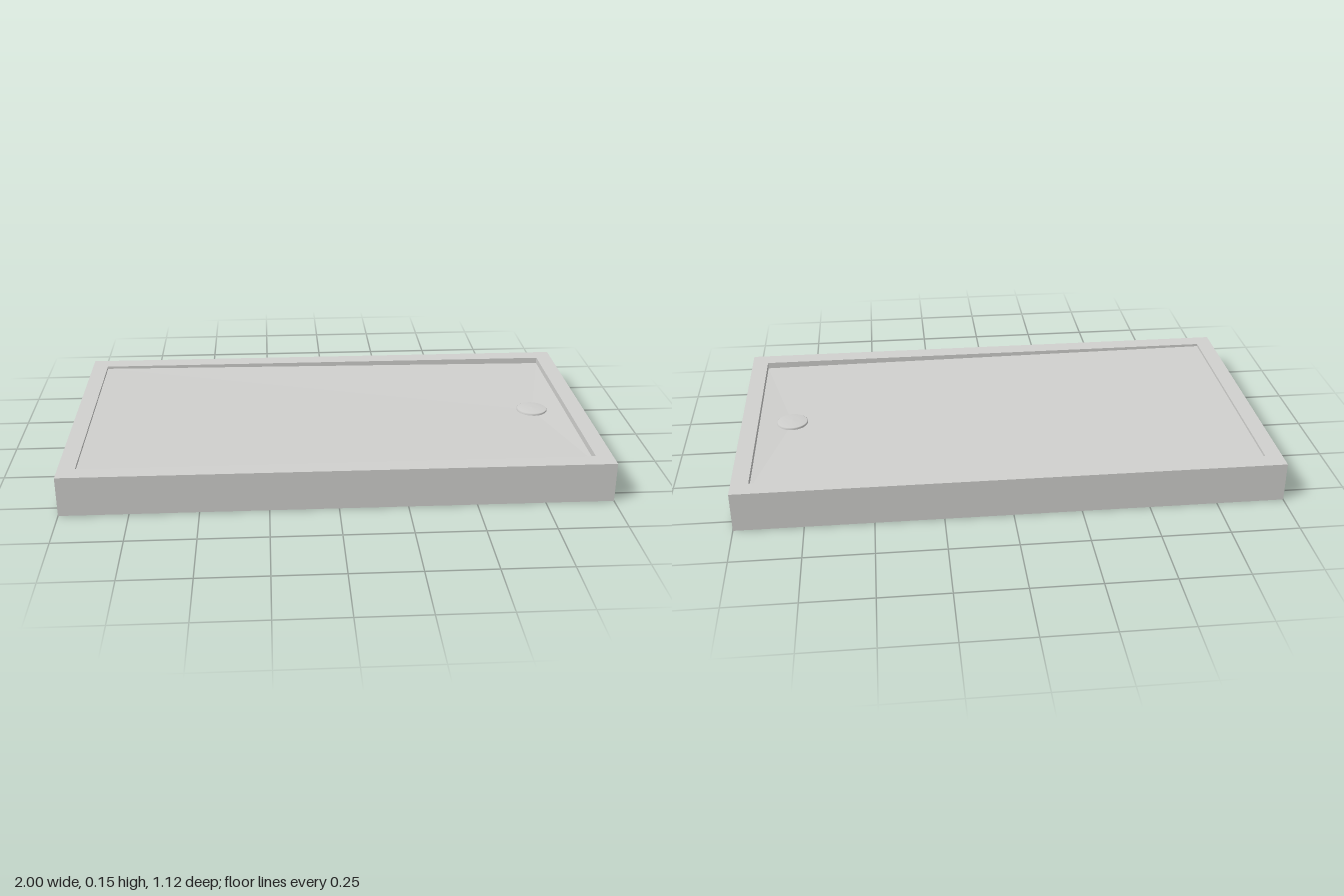
import * as THREE from 'three';

export function createModel() {
  const tray = new THREE.MeshStandardMaterial({ color: 0xd0d0ce });
  tray.name = 'trayGrey';
  const liner = new THREE.MeshStandardMaterial({ color: 0xcfc6ad });
  liner.name = 'linerBeige';

  const model = new THREE.Group();
  model.name = 'showerTray';
  const add = (name, geometry, material) => {
    const mesh = new THREE.Mesh(geometry, material);
    mesh.name = name;
    model.add(mesh);
    return mesh;
  };

  // Upright extrusion of a plan shape between two heights
  const rise = (shape, y0, y1) =>
    new THREE.ExtrudeGeometry(shape, { depth: y1 - y0, bevelEnabled: false, curveSegments: 48 })
      .rotateX(-Math.PI / 2).translate(0, y0, 0);
  const corners = (x, z) => [[-x, -z], [x, -z], [x, z], [-x, z]].map(p => new THREE.Vector2(...p));
  const frame = (x, z, ix, iz) => {
    const shape = new THREE.Shape(corners(x, z));
    shape.holes.push(new THREE.Path(corners(ix, iz).reverse()));
    return shape;
  };

  // Raised border and the thin skirt hanging below it
  add('rim', rise(frame(1, 0.56, 0.937, 0.492), 0.1, 0.15), tray);
  add('skirt', rise(frame(1, 0.56, 0.974, 0.534), 0, 0.1), tray);
  add('skirtLiner', rise(frame(0.974, 0.534, 0.97, 0.53), 0.002, 0.1), liner);
  add('rimLiner', rise(frame(0.972, 0.532, 0.92, 0.48), 0.096, 0.1), liner);

  // Floor falling from the four corners to the drain
  const dx = 0.81, hx = 0.937, hz = 0.492;
  const ring = [[-hx, 0.14, hz], [hx, 0.125, hz], [hx, 0.125, -hz], [-hx, 0.14, -hz]];
  const points = [];
  ring.forEach((p, i) => points.push(...p, ...ring[(i + 1) % 4], dx, 0.119, 0));
  const floor = new THREE.BufferGeometry();
  floor.setAttribute('position', new THREE.Float32BufferAttribute(points, 3));
  floor.computeVertexNormals();
  add('floor', floor, tray);

  // Core slab with a round drain pocket breaking through its end
  const sx = 0.928, sz = 0.487, r = 0.185;
  const a = Math.acos((sx - dx) / r);
  const core = new THREE.Shape();
  core.moveTo(-sx, -sz);
  core.lineTo(sx, -sz);
  core.lineTo(sx, -r * Math.sin(a));
  core.absarc(dx, 0, r, -a, a, true);
  core.lineTo(sx, sz);
  core.lineTo(-sx, sz);
  add('coreSlab', rise(core, 0.005, 0.105), tray);
  add('drainPocketCeiling', new THREE.CylinderGeometry(r, r, 0.025, 48).translate(dx, 0.0955, 0), liner);

  // Slightly domed drain cover
  const profile = [[0.06, 0.115], [0.06, 0.126], [0.057, 0.128], [0.03, 0.13], [0, 0.131]]
    .map(p => new THREE.Vector2(...p));
  add('drainCover', new THREE.LatheGeometry(profile, 40).translate(dx, 0, 0), tray);

  return model;
}
